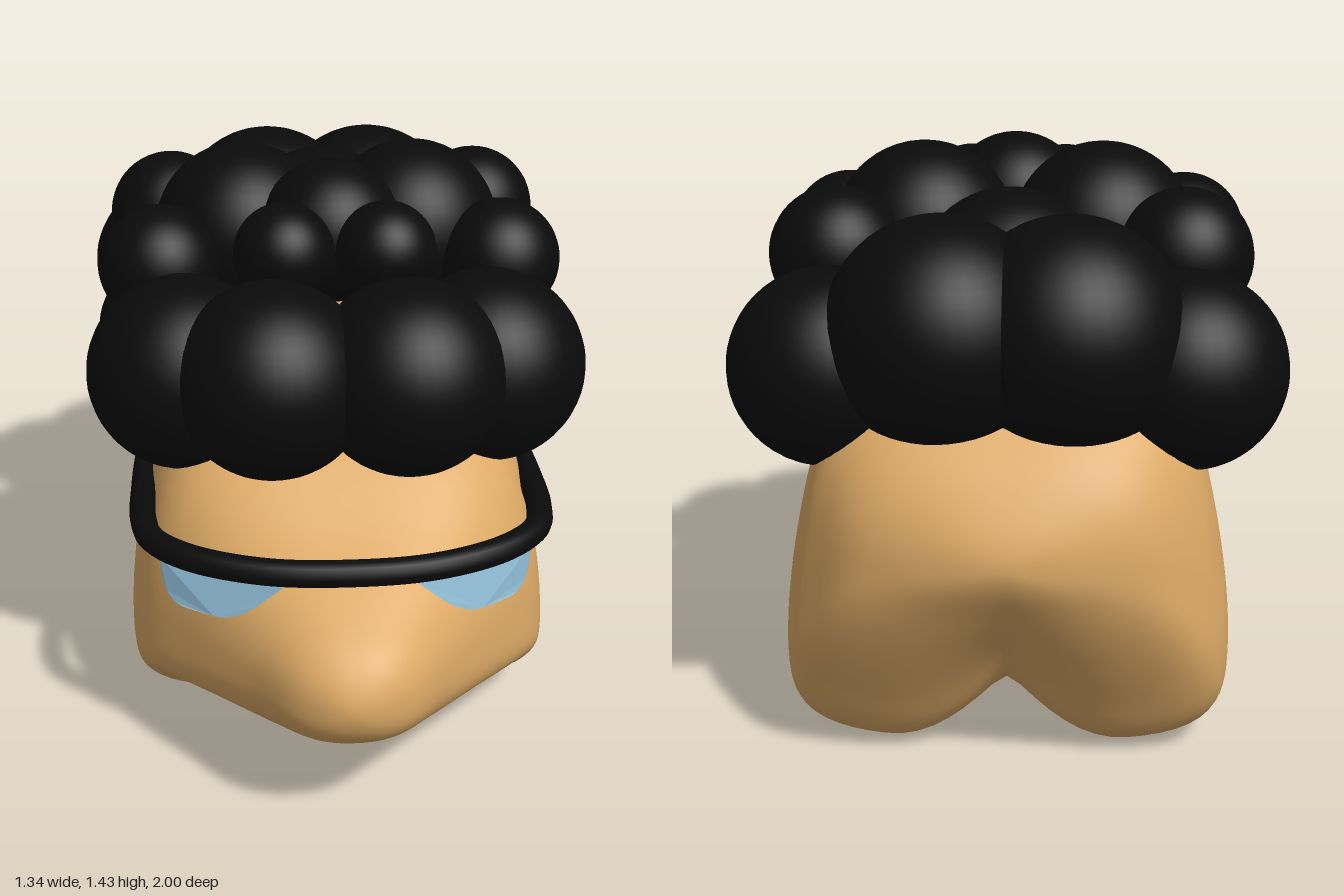
import * as THREE from 'three';
import { mergeVertices } from 'three/addons/utils/BufferGeometryUtils.js';

const black = new THREE.MeshStandardMaterial({ color: 0x0a0a0a });
const tan = new THREE.MeshStandardMaterial({ color: 0xddaa66 });
const blue = new THREE.MeshStandardMaterial({ color: 0x8fbcd4 });

// Body stations, nose to rump: z, top, widest height, leg bottom, belly bottom, half width
const STATIONS = [
  [1.0, 0.4, 0.4, 0.4, 0.4, 0],
  [0.95, 0.51, 0.4, 0.295, 0.295, 0.135],
  [0.82, 0.6, 0.39, 0.23, 0.23, 0.25],
  [0.65, 0.695, 0.37, 0.205, 0.21, 0.395],
  [0.48, 0.82, 0.32, 0.165, 0.2, 0.515],
  [0.32, 0.9, 0.28, 0.04, 0.16, 0.55],
  [0.15, 0.95, 0.27, 0, 0.15, 0.557],
  [-0.02, 0.98, 0.28, 0.03, 0.15, 0.55],
  [-0.2, 1.0, 0.32, 0.13, 0.16, 0.54],
  [-0.38, 1.0, 0.29, 0.035, 0.15, 0.552],
  [-0.55, 1.0, 0.28, 0, 0.16, 0.555],
  [-0.7, 0.97, 0.33, 0.03, 0.23, 0.535],
  [-0.8, 0.91, 0.43, 0.18, 0.33, 0.48],
  [-0.93, 0.765, 0.56, 0.42, 0.46, 0.33],
  [-1.0, 0.6, 0.6, 0.6, 0.6, 0],
];

// Catmull-Rom value of every column at station position t; mirrored ends round off the tips
function stationAt(t) {
  const last = STATIONS.length - 1;
  const i = Math.min(Math.floor(t), last - 1), f = t - i;
  const beyond = (end, next, c) => (c === 0 ? next : 2 * end - next);
  return STATIONS[i].map((b, c) => {
    const d = STATIONS[i + 1][c];
    const a = i > 0 ? STATIONS[i - 1][c] : beyond(b, d, c);
    const e = i + 2 <= last ? STATIONS[i + 2][c] : beyond(d, b, c);
    return b + 0.5 * f * (d - a + f * (2 * a - 5 * b + 4 * d - e + f * (3 * (b - d) + e - a)));
  });
}

// Rounded cross-sections along z; the underside splits into left and right legs
function bodyGeometry() {
  const steps = 6, rings = (STATIONS.length - 1) * steps, segs = 96, pos = [], idx = [];
  for (let i = 0; i <= rings; i++) {
    const [z, top, mid, leg, belly, w] = stationAt(i / steps);
    const square = THREE.MathUtils.smoothstep(w, 0.2, 0.55);
    for (let j = 0; j < segs; j++) {
      const a = (j / segs) * Math.PI * 2, c = Math.cos(a), s = Math.sin(a);
      const n = 2.4 + square * (s > 0 ? 1.1 : 1.6);
      const k = Math.pow(Math.abs(c) ** n + Math.abs(s) ** n, -1 / n);
      const x = w * c * k;
      const u = Math.min(1, Math.hypot(x, 0.02) / 0.3);
      const bottom = belly + (leg - belly) * (1 - (1 - u) ** 2);
      const y = mid + s * k * (s > 0 ? top - mid : mid - bottom);
      // flanks lean inward towards the top
      const lean = 1 - 0.08 * THREE.MathUtils.smoothstep(y, 0.25, 0.75);
      pos.push(x * lean, y, z);
      if (i < rings) {
        const p = i * segs + j, q = i * segs + (j + 1) % segs;
        idx.push(p, p + segs, q, q, p + segs, q + segs);
      }
    }
  }
  const g = new THREE.BufferGeometry();
  g.setAttribute('position', new THREE.Float32BufferAttribute(pos, 3));
  g.setIndex(idx);
  const merged = mergeVertices(g, 1e-5);
  merged.computeVertexNormals();
  return merged;
}

// Hair curls: x, y, z, radius; those off centre are mirrored
const CURLS = [
  [0.17, 1.0, 0.41, 0.25],
  [0.39, 0.97, 0.27, 0.25],
  [0.425, 0.905, -0.2, 0.215],
  [0.43, 0.965, -0.61, 0.24],
  [0.15, 1.065, -0.675, 0.28],
  [0.45, 1.17, 0.02, 0.16],
  [0.43, 1.19, -0.38, 0.17],
  [0.23, 1.2, -0.17, 0.24],
  [0.13, 1.25, 0.18, 0.13],
  [0, 1.25, 0, 0.19],
  [0, 1.12, -0.4, 0.24],
];

// Depth of the curved glasses front at a given x
const frontCurve = (x) => 0.785 - 0.42 * x * x - 1.75 * x ** 4;

// Half lens hanging below the frame, bent along its curve
function lensGeometry() {
  const shape = new THREE.Shape();
  shape.moveTo(0.13, 0.65);
  shape.bezierCurveTo(0.2, 0.6, 0.25, 0.52, 0.33, 0.52);
  shape.lineTo(0.4, 0.52);
  shape.bezierCurveTo(0.45, 0.52, 0.455, 0.57, 0.458, 0.65);
  const g = new THREE.ExtrudeGeometry(shape, { depth: 0.02, bevelEnabled: false, curveSegments: 16 });
  const p = g.attributes.position;
  for (let i = 0; i < p.count; i++) p.setZ(i, p.getZ(i) - 0.01 + frontCurve(p.getX(i)));
  g.computeVertexNormals();
  return g;
}

export function createModel() {
  const model = new THREE.Group();
  const add = (name, geometry, material, parent) => {
    const mesh = new THREE.Mesh(geometry, material);
    mesh.name = name;
    parent.add(mesh);
    return mesh;
  };

  add('body', bodyGeometry(), tan, model);

  const hair = new THREE.Group();
  hair.name = 'hair';
  for (const [x, y, z, r] of CURLS) {
    for (const side of x ? [1, -1] : [1]) {
      add('curl', new THREE.SphereGeometry(r, 40, 28), black, hair).position.set(side * x, y, z);
    }
  }

  const glasses = new THREE.Group();
  glasses.name = 'glasses';
  model.add(hair, glasses);

  // One continuous frame: temple, curved front, temple
  const half = [[0.2, 0.66, frontCurve(0.2)], [0.38, 0.66, frontCurve(0.38)], [0.475, 0.66, 0.59],
    [0.502, 0.66, 0.48], [0.508, 0.657, 0.3], [0.508, 0.645, 0.12], [0.505, 0.625, 0.04], [0.502, 0.59, 0.01]];
  const points = [
    ...half.map(([x, y, z]) => new THREE.Vector3(-x, y, z)).reverse(),
    new THREE.Vector3(0, 0.66, frontCurve(0)),
    ...half.map((p) => new THREE.Vector3(...p)),
  ];
  add('frame', new THREE.TubeGeometry(new THREE.CatmullRomCurve3(points), 120, 0.033, 14), black, glasses);
  for (const end of [points[0], points[points.length - 1]]) {
    add('templeTip', new THREE.SphereGeometry(0.033, 16, 12), black, glasses).position.copy(end);
  }

  const lens = lensGeometry();
  add('leftLens', lens, blue, glasses);
  add('rightLens', lens, blue, glasses).scale.x = -1;
  return model;
}
